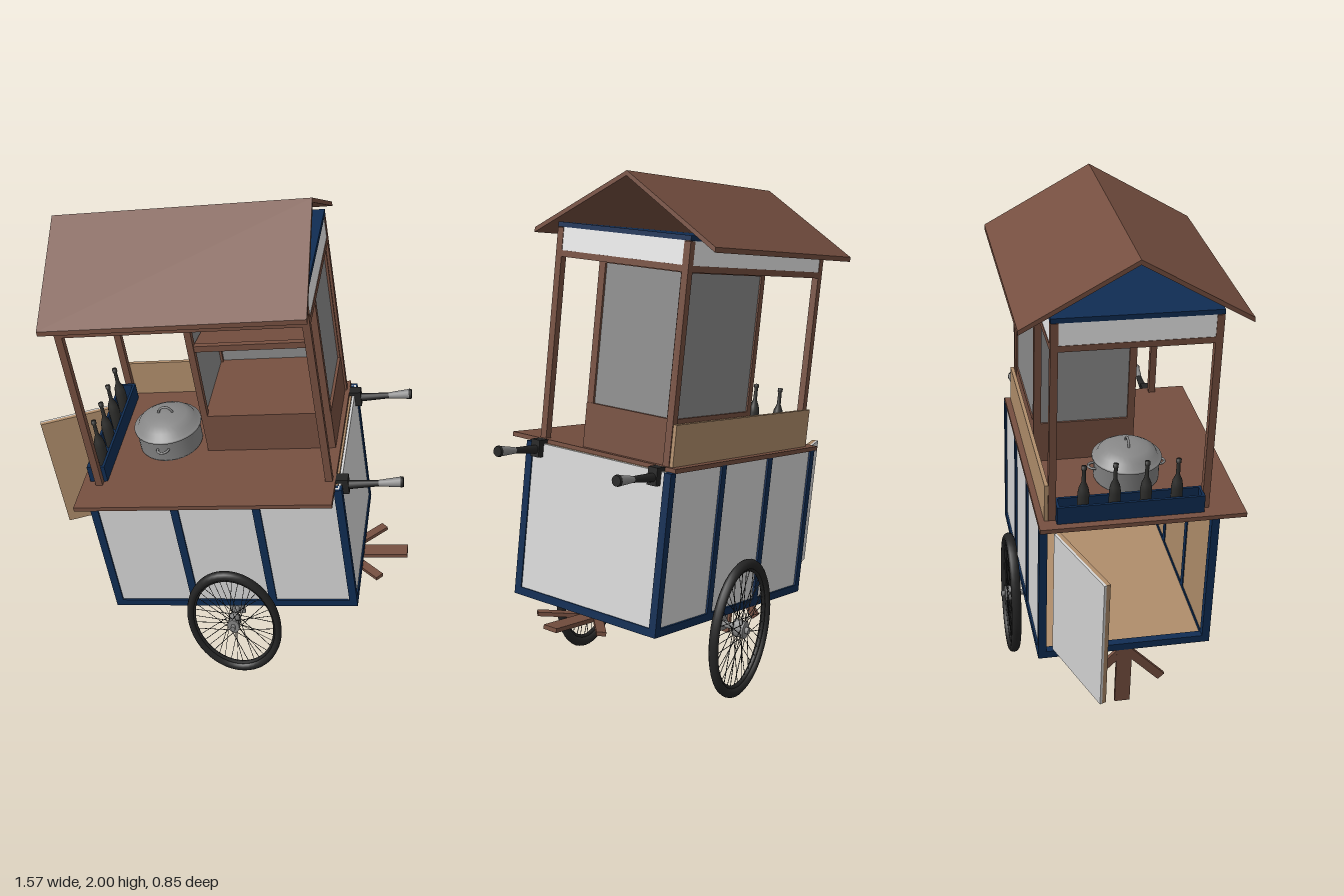
import * as THREE from 'three';

const mat = (name, hex) => {
  const m = new THREE.MeshStandardMaterial({ color: hex, side: THREE.DoubleSide });
  m.name = name;
  return m;
};

export function createModel() {
  const wood = mat('brown wood', 0x744e3f), blue = mat('navy paint', 0x0f2c52);
  const panel = mat('light grey panel', 0xd4d4d4), white = mat('white board', 0xf5f5f5);
  const glass = mat('grey glass', 0x8a8a8a), tan = mat('tan plywood', 0xae8c6a);
  const metal = mat('grey metal', 0x868686), black = mat('black rubber', 0x242424);
  const dark = mat('dark bottle', 0x30302e);

  // The cart is modelled level, then tipped onto its front leg
  const model = new THREE.Group();
  const cart = new THREE.Group();
  cart.name = 'cart';
  cart.rotation.z = THREE.MathUtils.degToRad(9.5);
  model.add(cart);

  const add = (name, geo, m, x = 0, y = 0, z = 0, parent = cart) => {
    const mesh = new THREE.Mesh(geo, m);
    mesh.name = name;
    mesh.position.set(x, y, z);
    parent.add(mesh);
    return mesh;
  };
  // Box given by its lower and upper bounds
  const box = (name, m, x0, x1, y0, y1, z0, z1, parent = cart) =>
    add(name, new THREE.BoxGeometry(x1 - x0, y1 - y0, z1 - z0), m,
      (x0 + x1) / 2, (y0 + y1) / 2, (z0 + z1) / 2, parent);
  // Thin rod between two points
  const rod = (name, m, a, b, r0, r1, sides, parent = cart) => {
    const d = new THREE.Vector3().subVectors(b, a);
    const mesh = add(name, new THREE.CylinderGeometry(r1, r0, d.length(), sides), m, 0, 0, 0, parent);
    mesh.position.copy(a).addScaledVector(d, 0.5);
    mesh.quaternion.setFromUnitVectors(new THREE.Vector3(0, 1, 0), d.normalize());
    return mesh;
  };
  const V = (x, y, z) => new THREE.Vector3(x, y, z);

  // Lower cabinet: blue frame, grey panels, tan lining
  const L = -0.313, R = 0.67, B = 0.315, T = 0.905, zb = -0.345, zf = 0.325, w = 0.03;
  for (const [z0, z1, zp, zl] of [[zf - w, zf, zf - 0.012, zf - 0.022], [zb, zb + w, zb + 0.012, zb + 0.022]]) {
    for (let i = 0; i < 4; i++) {
      const x = L + (i * (R - L - w)) / 3;
      box('cabinetPost', blue, x, x + w, B, T, z0, z1);
    }
    box('cabinetRail', blue, L, R, B, B + w, z0, z1);
    box('sidePanel', panel, L + 0.01, R - 0.01, B + 0.01, T, zp - 0.004, zp + 0.004);
    box('sideLining', tan, L + 0.01, R - 0.02, B + 0.01, T, zl - 0.004, zl + 0.004);
  }
  for (const x of [L, R - w]) box('endRail', blue, x, x + w, B, B + w, zb, zf);
  box('endPanel', panel, R - 0.015, R - 0.005, B + 0.01, T, zb + 0.01, zf - 0.01);
  box('endLining', tan, R - 0.025, R - 0.017, B + 0.01, T, zb + 0.02, zf - 0.02);
  box('floorPanel', panel, L + w, R - w, B + 0.003, B + 0.009, zb + w, zf - w);
  box('floorLining', tan, L + w, R - w, B + 0.01, B + 0.016, zb + w, zf - w);

  // Open door hinged at the back corner
  const door = new THREE.Group();
  door.name = 'door';
  door.position.set(L, 0, -0.28);
  door.rotation.y = THREE.MathUtils.degToRad(20);
  cart.add(door);
  box('doorInside', tan, -0.35, 0, 0.36, 0.888, -0.004, 0.012, door);
  box('doorOutside', panel, -0.35, 0, 0.36, 0.888, -0.013, -0.004, door);

  // Counter and rear splash board
  box('counter', wood, -0.334, 0.645, 0.903, 0.92, -0.345, 0.42);
  box('splashBoard', tan, -0.277, 0.632, 0.92, 1.07, -0.322, -0.308);

  // Canopy posts, beams, sign boards and ceiling
  const cl = -0.277, cr = 0.635, cb = -0.307, cf = 0.29, p = 0.027;
  for (const x of [cl, cr - p]) {
    for (const z of [cb, cf - p]) box('canopyPost', wood, x, x + p, 0.915, 1.7, z, z + p);
    box('crossBeam', wood, x, x + p, 1.595, 1.618, cb, cf);
    box('endBoard', white, x + (x < 0 ? 0.002 : 0.017), x + (x < 0 ? 0.01 : 0.025), 1.615, 1.702, cb + p, cf - p);
  }
  for (const z of [cb, cf - p]) {
    box('longBeam', wood, cl, cr, 1.595, 1.618, z, z + p);
    box('signBoard', white, cl + p, cr - p, 1.615, 1.702, z + (z < 0 ? 0.002 : 0.017), z + (z < 0 ? 0.01 : 0.025));
  }
  box('ceiling', wood, cl + 0.01, cr - 0.01, 1.692, 1.702, cb + 0.01, cf - 0.01);
  box('ceilingTop', blue, cl, cr, 1.702, 1.72, cb, cf);

  // Gabled roof, open at both ends
  const chevron = new THREE.Shape([[0, 1.92], [-0.405, 1.69], [-0.405, 1.672], [0, 1.902], [0.405, 1.672], [0.405, 1.69]]
    .map(([x, y]) => new THREE.Vector2(x, y)));
  add('roof', new THREE.ExtrudeGeometry(chevron, { depth: 0.938, bevelEnabled: false }), wood, -0.291, 0, -0.013)
    .rotation.y = Math.PI / 2;

  // Glazed display case, open at the front
  const dl = 0.13, dr = 0.612, db = -0.3, df = 0.09, dy = 1.085;
  box('caseBase', wood, dl, dr + 0.015, 0.92, dy, db, df);
  for (const x of [dl, dr - 0.012]) for (const z of [db, df - 0.028]) box('casePost', wood, x, x + 0.025, dy, 1.6, z, z + 0.028);
  for (const x of [dl, dr - 0.012]) {
    box('caseTopRail', wood, x, x + 0.025, 1.592, 1.7, db, df);
    box('caseSideGlass', glass, x + 0.008, x + 0.016, dy, 1.6, db + 0.02, df - 0.02);
  }
  for (const z of [db, df - 0.025]) box('caseLongRail', wood, dl, dr, 1.592, 1.61, z, z + 0.025);
  box('caseBackGlass', glass, dl + 0.02, dr, dy, 1.6, db + 0.006, db + 0.014);
  const shelf = box('caseShelf', wood, dl + 0.02, dr - 0.01, 1.347, 1.359, -0.285, 0.075);
  shelf.rotation.x = -0.19;
  box('shelfLip', wood, dl + 0.02, dr - 0.01, 1.375, 1.4, 0.065, 0.085);

  // Cooking pot with lid and loop handle
  const pot = [[0, 0.92], [0.118, 0.92], [0.124, 0.93], [0.124, 1.005], [0.132, 1.01], [0.132, 1.018], [0.118, 1.02],
    [0.108, 1.04], [0.08, 1.057], [0.04, 1.066], [0, 1.068]].map(([x, y]) => new THREE.Vector2(x, y));
  add('pot', new THREE.LatheGeometry(pot, 32), metal, -0.027, 0, 0.03);
  add('lidHandle', new THREE.TorusGeometry(0.028, 0.005, 6, 16, Math.PI), metal, -0.027, 1.062, 0.03);
  for (const s of [-1, 1]) {
    const grip = add('potGrip', new THREE.TorusGeometry(0.022, 0.005, 6, 12), metal, -0.027, 0.98, 0.03 + s * 0.125);
    grip.rotation.x = Math.PI / 2;
  }

  // Bottle tray with four bottles
  box('trayBottom', blue, -0.305, -0.235, 0.92, 0.93, -0.28, 0.265);
  for (const x of [-0.305, -0.245]) box('traySide', blue, x, x + 0.01, 0.92, 0.99, -0.28, 0.265);
  for (const z of [-0.28, 0.255]) box('trayEnd', blue, -0.305, -0.235, 0.92, 0.99, z, z + 0.01);
  const bottle = [[0, 0], [0.021, 0], [0.022, 0.09], [0.018, 0.115], [0.008, 0.14], [0.007, 0.19], [0.01, 0.192],
    [0.01, 0.205], [0, 0.207]].map(([x, y]) => new THREE.Vector2(x, y));
  for (let i = 0; i < 4; i++) add('bottle', new THREE.LatheGeometry(bottle, 14), dark, -0.27, 0.93, 0.165 - i * 0.115);

  // Push handles
  for (const z of [-0.28, 0.265]) {
    box('handleBracket', black, 0.645, 0.69, 0.855, 0.92, z - 0.02, z + 0.02);
    rod('handleBar', black, V(0.66, 0.882, z), V(0.81, 0.888, z), 0.018, 0.011, 12);
    rod('handleGrip', metal, V(0.8, 0.888, z), V(0.882, 0.892, z), 0.012, 0.02, 12);
    rod('handleCap', black, V(0.88, 0.892, z), V(0.89, 0.892, z), 0.021, 0.019, 12);
  }

  // Y-shaped stands: one down under the left end, one folded flat at the other
  const stand = (name, x, y, turn) => {
    const g = new THREE.Group();
    g.name = name;
    g.position.set(x, y, -0.01);
    g.rotation.z = turn;
    cart.add(g);
    box('standStem', wood, -0.008, 0.008, -0.258, 0, -0.03, 0.03, g);
    for (const s of [-1, 1]) {
      const brace = add('standBrace', new THREE.BoxGeometry(0.015, 0.2, 0.035), wood, 0, -0.083, s * 0.083, g);
      brace.rotation.x = -s * 0.76;
    }
  };
  stand('frontLeg', -0.304, 0.315, 0);
  stand('foldedStand', 0.585, 0.297, Math.PI / 2);

  // Spoked wheels, narrower along the cart than they are tall
  for (const [z, s] of [[0.365, 1], [-0.385, -1]]) {
    const wheel = new THREE.Group();
    wheel.name = 'wheel';
    wheel.position.set(0.174, 0.263, z);
    wheel.scale.x = 0.69;
    cart.add(wheel);
    add('tire', new THREE.TorusGeometry(0.253, 0.02, 10, 48), black, 0, 0, 0, wheel);
    add('rim', new THREE.TorusGeometry(0.232, 0.008, 6, 48), black, 0, 0, 0, wheel);
    for (let i = 0; i < 40; i++) {
      const a = (i / 40) * Math.PI * 2, b = a + (i % 4 < 2 ? 0.9 : -0.9), h = i % 2 ? 0.018 : -0.018;
      rod('spoke', black, V(0.03 * Math.cos(b), 0.03 * Math.sin(b), h),
        V(0.232 * Math.cos(a), 0.232 * Math.sin(a), 0), 0.0016, 0.0016, 4, wheel);
    }
    rod('hub', metal, V(0, 0, -0.025), V(0, 0, 0.025), 0.034, 0.034, 16, wheel);
    rod('axle', metal, V(0, 0, -s * 0.11), V(0, 0, s * 0.04), 0.013, 0.013, 10, wheel);
    const zi = z - s * 0.085;
    box('axleBracket', metal, 0.145, 0.203, 0.235, 0.32, zi - 0.006, zi + 0.006);
  }
  return model;
}
